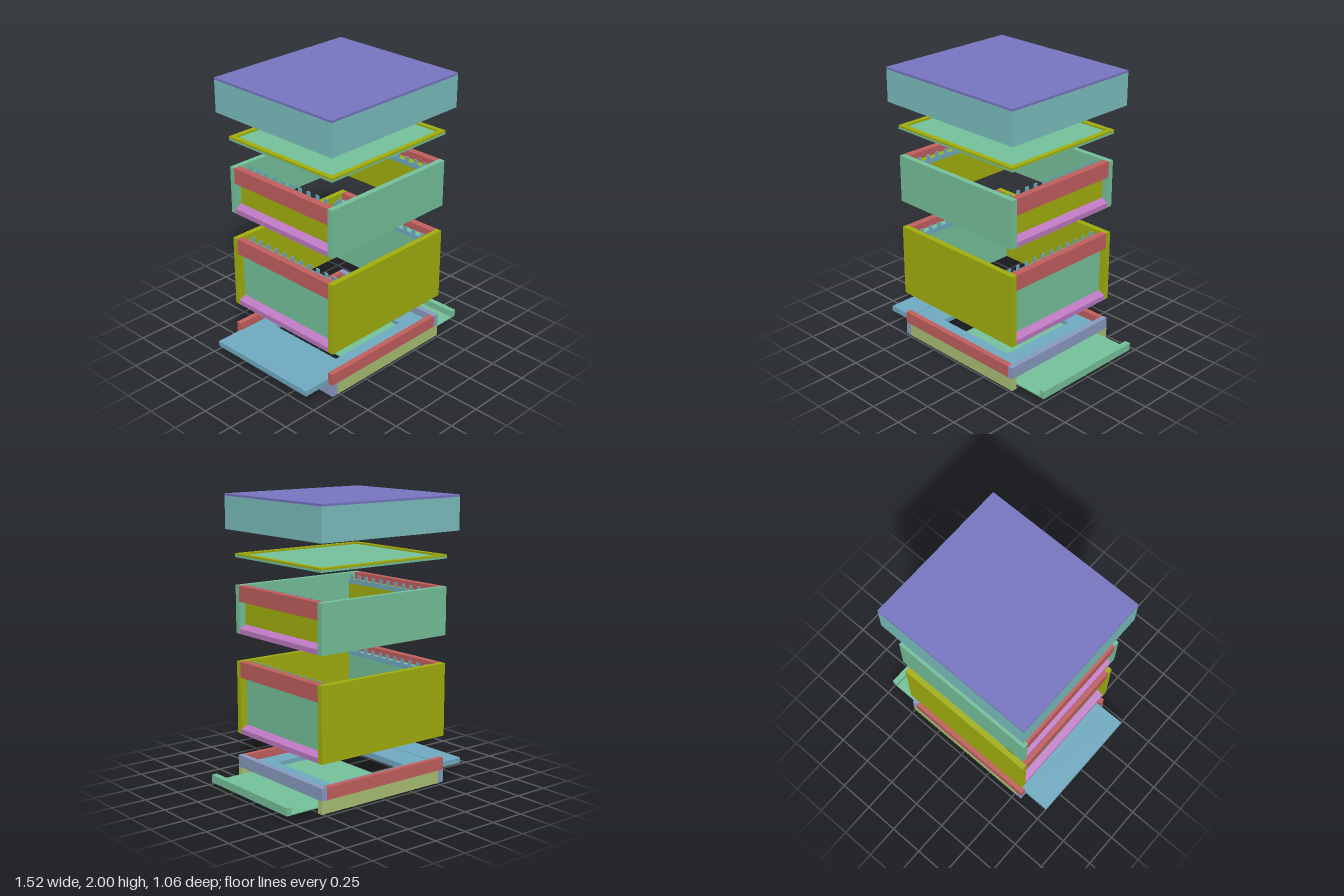
import * as THREE from 'three';

const mat = (name, color) => {
  const m = new THREE.MeshStandardMaterial({ color });
  m.name = name;
  return m;
};

// Shared footprint of the boxes and base
const X0 = -0.56, X1 = 0.51, Z0 = -0.465, Z1 = 0.485, WALL = 0.04;
const CX = (X0 + X1) / 2, CZ = (Z0 + Z1) / 2;

export function createModel() {
  const purple = mat('purple', 0x7876c2);
  const teal = mat('teal', 0x7cc0c0);
  const olive = mat('olive', 0xa3b00d);
  const green = mat('green', 0x76c29c);
  const red = mat('red', 0xc2605e);
  const pink = mat('pink', 0xbd79c2);
  const lavender = mat('lavender', 0x8a9bc2);
  const moss = mat('moss', 0xaac275);
  const blue = mat('blue', 0x71acc2);

  const model = new THREE.Group();
  model.name = 'explodedHive';

  // Box from its minimum and maximum on each axis
  const box = (parent, name, m, x0, x1, y0, y1, z0, z1) => {
    const mesh = new THREE.Mesh(new THREE.BoxGeometry(x1 - x0, y1 - y0, z1 - z0), m);
    mesh.position.set((x0 + x1) / 2, (y0 + y1) / 2, (z0 + z1) / 2);
    mesh.name = name;
    parent.add(mesh);
    return mesh;
  };

  // Flat rectangular frame with a rectangular hole, lying in xz
  const frame = (parent, name, m, outer, inner, y0, y1) => {
    const rect = (p, [a, b, c, d]) => p.moveTo(a, -d).lineTo(b, -d).lineTo(b, -c).lineTo(a, -c).closePath();
    const shape = rect(new THREE.Shape(), outer);
    shape.holes.push(rect(new THREE.Path(), inner));
    const geo = new THREE.ExtrudeGeometry(shape, { depth: y1 - y0, bevelEnabled: false });
    geo.rotateX(-Math.PI / 2);
    const mesh = new THREE.Mesh(geo, m);
    mesh.position.y = y0;
    mesh.name = name;
    parent.add(mesh);
  };
  const inset = ([a, b, c, d], w) => [a + w, b - w, c + w, d - w];

  // Open box: long walls, recessed end panels, top rails, sloped sills and spacer combs
  const hiveBox = (name, wallMat, panelMat, y0, y1) => {
    const g = new THREE.Group();
    g.name = name;
    const zi0 = Z0 + WALL, zi1 = Z1 - WALL;
    box(g, 'frontWall', wallMat, X0, X1, y0, y1, zi1, Z1);
    box(g, 'backWall', wallMat, X0, X1, y0, y1, Z0, zi0);

    for (const side of [1, -1]) {
      // Built for the +x end, turned round for the -x end
      const end = new THREE.Group();
      end.name = side > 0 ? 'leftEnd' : 'rightEnd';
      end.position.set(CX, 0, CZ);
      end.rotation.y = side > 0 ? 0 : Math.PI;
      const hx = (X1 - X0) / 2, hz = (zi1 - zi0) / 2;
      box(end, 'topRail', red, hx - 0.05, hx, y1 - 0.112, y1, -hz, hz);
      box(end, 'endPanel', panelMat, hx - 0.105, hx - 0.05, y0, y1 - 0.05, -hz, hz);

      const profile = new THREE.Shape();
      profile.moveTo(hx - 0.05, y0).lineTo(hx, y0).lineTo(hx, y0 + 0.035).lineTo(hx - 0.05, y0 + 0.06).closePath();
      const sill = new THREE.Mesh(
        new THREE.ExtrudeGeometry(profile, { depth: 2 * hz, bevelEnabled: false }), pink);
      sill.position.z = -hz;
      sill.name = 'slopedSill';
      end.add(sill);

      // Frame spacer comb
      box(end, 'combStrip', blue, hx - 0.112, hx - 0.104, y1 - 0.075, y1 - 0.042, -hz, hz);
      const teeth = 11, pitch = (2 * hz) / teeth;
      for (let i = 0; i < teeth; i++) {
        const z = -hz + (i + 0.5) * pitch;
        box(end, 'combTooth', blue, hx - 0.112, hx - 0.104, y1 - 0.042, y1 - 0.01, z - 0.014, z + 0.014);
      }
      g.add(end);
    }
    model.add(g);
  };

  hiveBox('broodBox', olive, green, 0.335, 0.85);
  hiveBox('honeyBox', green, olive, 1.045, 1.38);

  // Base with overlapping corner joints
  const base = new THREE.Group();
  base.name = 'base';
  for (const [n, za, zb] of [['front', Z1 - WALL, Z1], ['back', Z0, Z0 + WALL]]) {
    box(base, n + 'LowerRail', moss, X0 + 0.045, X1, 0, 0.09, za, zb);
    box(base, n + 'UpperRail', red, X0, X1 - 0.04, 0.09, 0.175, za, zb);
  }
  box(base, 'lowerCrossRail', lavender, X0, X0 + 0.045, 0, 0.09, Z0, Z1);
  box(base, 'upperCrossRail', lavender, X1 - 0.04, X1, 0.09, 0.175, Z0, Z1);
  const zi0 = Z0 + WALL, zi1 = Z1 - WALL;
  frame(base, 'floor', blue, [X0, X1 - 0.04, zi0, zi1], [-0.35, 0.3, -0.29, 0.31], 0.09, 0.122);
  box(base, 'landingBoard', blue, -0.765, X0, 0.087, 0.126, zi0, zi1);
  // Sliding tray with its pull lip
  box(base, 'slidingTray', green, -0.22, 0.76, 0.035, 0.043, zi0, zi1);
  box(base, 'trayLip', green, 0.72, 0.76, 0.043, 0.09, zi0, zi1);
  model.add(base);

  // Inner cover: thin board with a raised rim
  const cover = new THREE.Group();
  cover.name = 'innerCover';
  const foot = [X0, X1, Z0, Z1];
  box(cover, 'coverBoard', green, X0, X1, 1.57, 1.584, Z0, Z1);
  frame(cover, 'coverRim', olive, foot, inset(foot, 0.035), 1.584, 1.597);
  model.add(cover);

  // Hollow lid with a sheet on top
  const lid = new THREE.Group();
  lid.name = 'lid';
  const lidFoot = [-0.607, 0.556, -0.53, 0.53];
  frame(lid, 'lidSides', teal, lidFoot, inset(lidFoot, 0.042), 1.76, 1.985);
  box(lid, 'lidSheet', purple, -0.607, 0.556, 1.985, 2, -0.53, 0.53);
  model.add(lid);

  return model;
}
